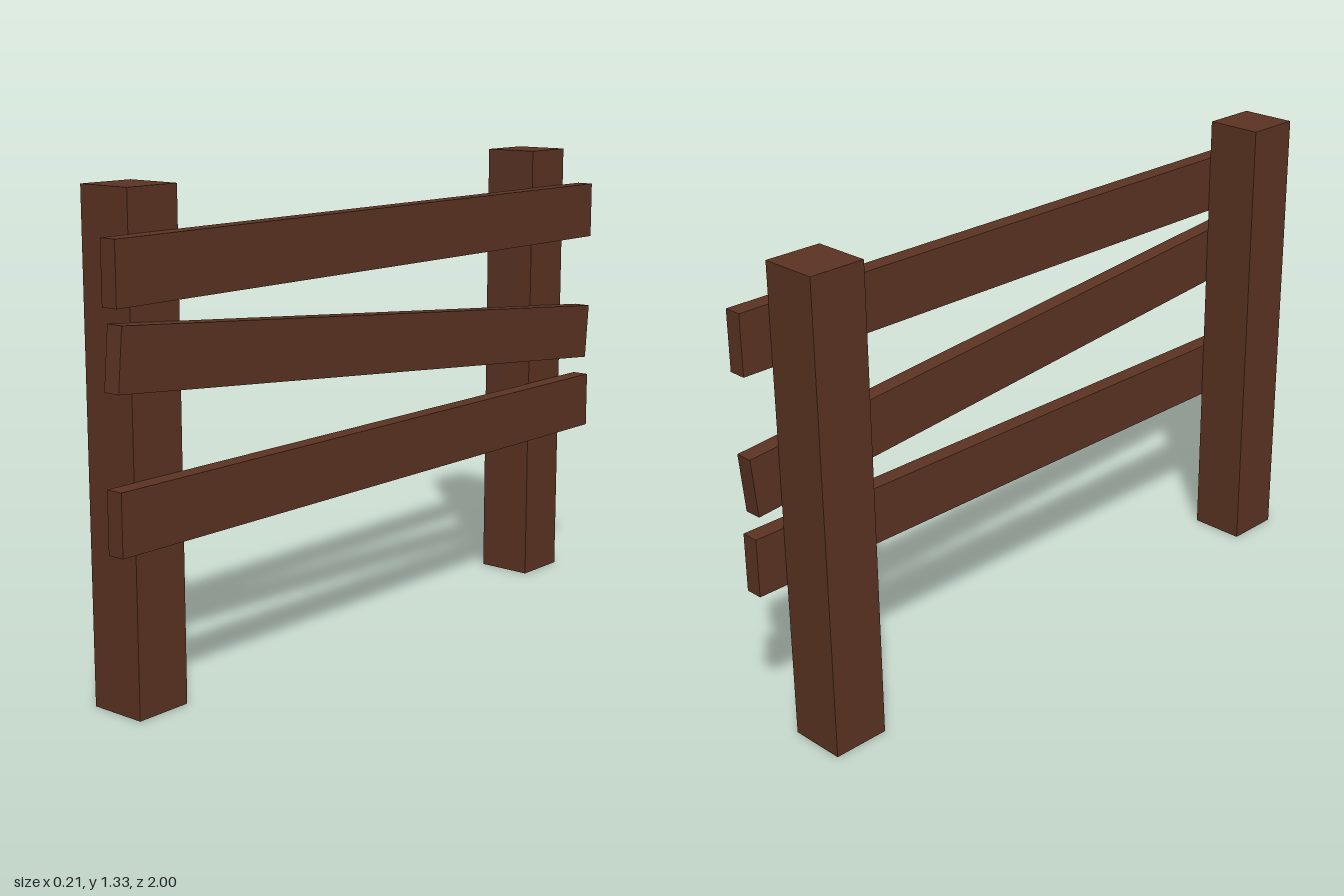
import * as THREE from 'three';

export function createModel() {
  const group = new THREE.Group();
  const wood = new THREE.MeshStandardMaterial({ color: 0x5c3423 });
  wood.name = 'brown wood';

  const addBeam = (name, size, position, tilt = 0) => {
    const mesh = new THREE.Mesh(new THREE.BoxGeometry(...size), wood);
    mesh.name = name;
    mesh.position.set(...position);
    mesh.rotation.x = tilt;
    group.add(mesh);
  };

  // Square upright posts
  const postWidth = 0.164, postHeight = 1.33;
  for (const [name, side] of [['frontPost', 1], ['backPost', -1]]) {
    addBeam(name, [postWidth, postHeight, postWidth], [-0.025, postHeight / 2, side * 0.83]);
  }

  // Planks fixed to the posts' left face; the middle one has slipped
  const plankHeight = 0.164, plankThickness = 0.05, plankX = 0.082;
  const planks = [
    ['topRail', 1.137, 2, 0],
    ['slantedMiddleRail', 0.843, 1.993, -0.09],
    ['bottomRail', 0.532, 2, 0],
  ];
  for (const [name, y, length, tilt] of planks) {
    addBeam(name, [plankThickness, plankHeight, length], [plankX, y, 0], tilt);
  }

  return group;
}
